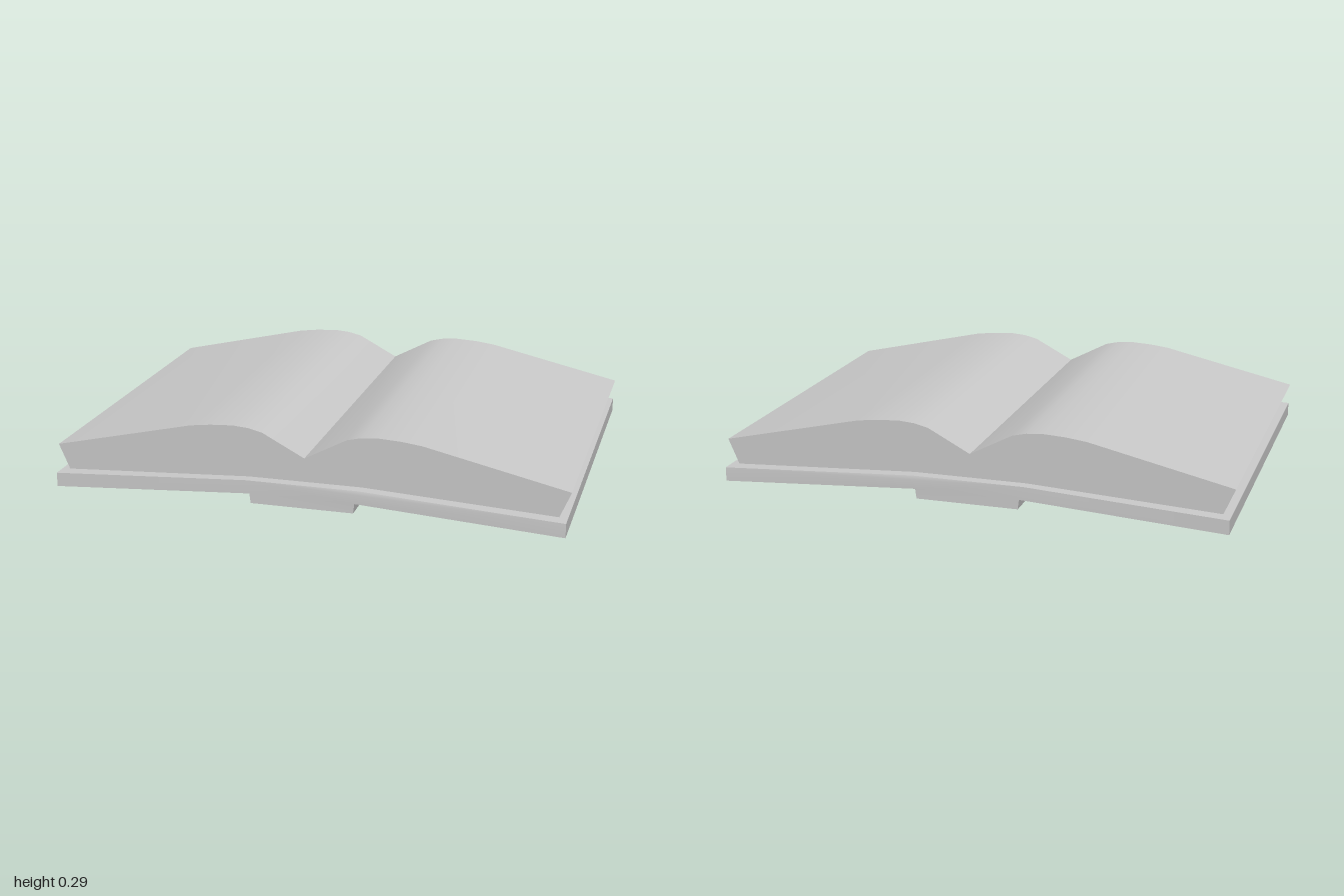
import * as THREE from 'three';
import { toCreasedNormals } from 'three/addons/utils/BufferGeometryUtils.js';

const material = new THREE.MeshStandardMaterial({ color: 0xcccccc });

// Extrude a cross-section along z, centred; halfDepth(x) gives where its ends lie
function slab(name, points, halfDepth) {
  const shape = new THREE.Shape(points.map(([x, y]) => new THREE.Vector2(x, y)));
  const geometry = new THREE.ExtrudeGeometry(shape, { depth: 2, bevelEnabled: false });
  geometry.translate(0, 0, -1);
  const p = geometry.attributes.position;
  for (let i = 0; i < p.count; i++) p.setZ(i, p.getZ(i) * halfDepth(p.getX(i)));
  const mesh = new THREE.Mesh(toCreasedNormals(geometry, 0.6), material);
  mesh.name = name;
  return mesh;
}

// Complete a right-hand half outline with its mirror image
const mirrored = (half) => [
  ...half,
  ...half.filter(([x]) => x > 0).reverse().map(([x, y]) => [-x, y]),
];

export function createModel() {
  const book = new THREE.Group();
  book.name = 'openBook';

  // Cover: two sloping boards joined by a spine block, boards flaring slightly outwards
  const cover = mirrored([
    [0.2, 0.007], [0.205, 0.045], [0.99, 0], [0.99, 0.055], [0.22, 0.097],
  ]);
  book.add(slab('cover', cover, (x) => 0.752 + 0.011 * Math.max(0, (Math.abs(x) - 0.2) / 0.79)));

  // Page block: curved leaves meeting at the gutter, with slanted fore-edges
  const pages = mirrored([
    [0, 0.09], [0.22, 0.09], [0.955, 0.05], [1, 0.155], [0.45, 0.28], [0.37, 0.29],
    [0.28, 0.295], [0.22, 0.29], [0.165, 0.277], [0, 0.19],
  ].slice(1));
  book.add(slab('pages', pages, () => 0.71));

  return book;
}
